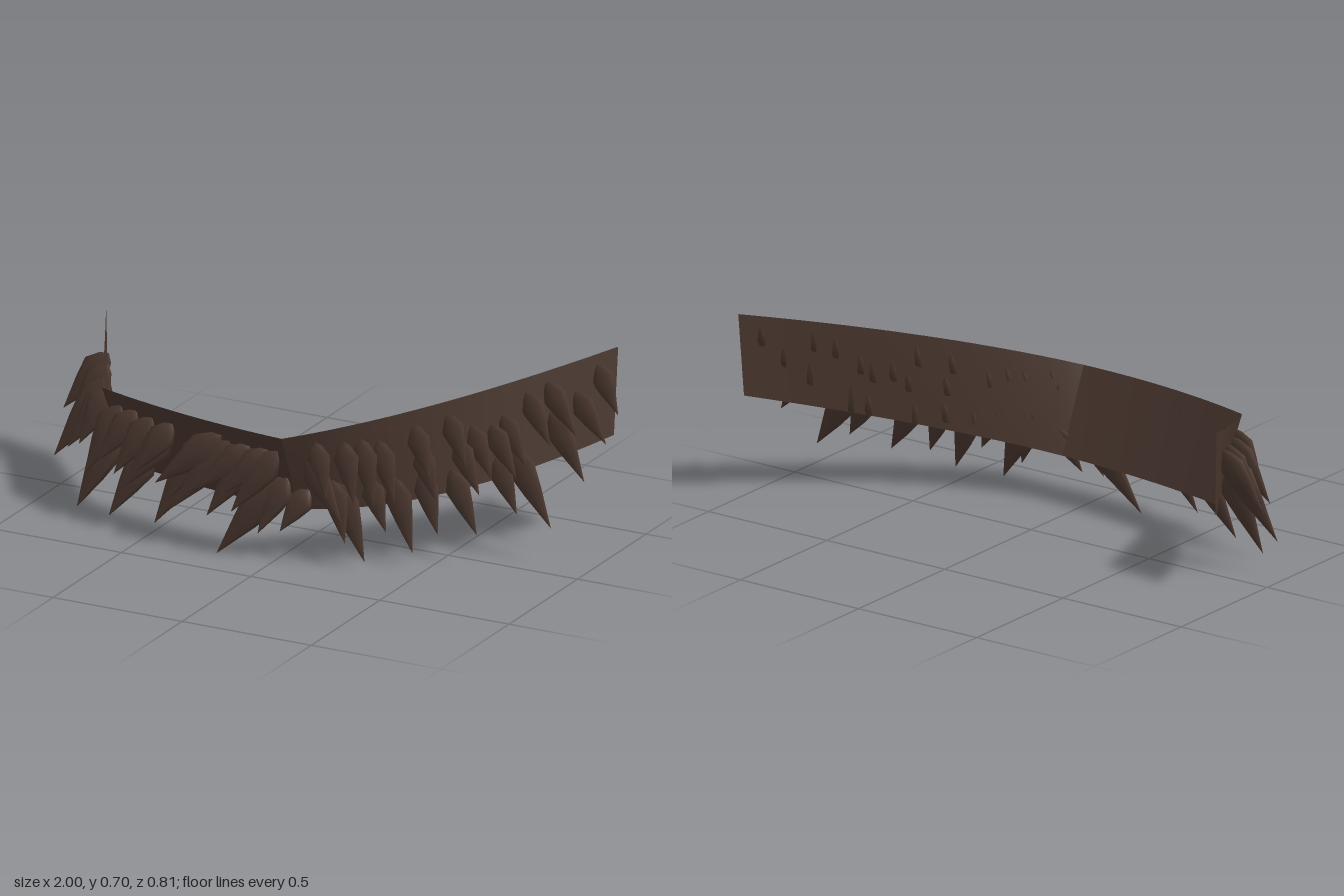
import * as THREE from 'three';

const V = (a) => new THREE.Vector3(...a);

// Curve passing through start, middle and end
function arc(a, m, b) {
  const [p, q, r] = [V(a), V(m), V(b)];
  const control = q.multiplyScalar(2).sub(p.clone().add(r).multiplyScalar(0.5));
  return new THREE.QuadraticBezierCurve3(p, control, r);
}

// Band sections from right to left: upper and lower edge of each
const sections = [
  {
    name: 'bandRightEnd',
    top: arc([-0.925, 0.61, -0.19], [-0.82, 0.55, 0.02], [-0.7, 0.5, 0.265]),
    low: arc([-0.915, 0.31, -0.185], [-0.81, 0.25, -0.03], [-0.67, 0.2, 0.15]),
  },
  {
    name: 'bandFront',
    top: arc([-0.7, 0.5, 0.265], [-0.33, 0.493, 0.35], [0.06, 0.485, 0.387]),
    low: arc([-0.67, 0.2, 0.15], [-0.31, 0.19, 0.233], [0.06, 0.19, 0.265]),
  },
  {
    name: 'bandLeftSide',
    top: arc([0.06, 0.485, 0.387], [0.5, 0.587, 0.075], [0.94, 0.713, -0.41]),
    low: arc([0.06, 0.19, 0.265], [0.52, 0.262, 0.07], [0.945, 0.405, -0.37]),
  },
];

const bandPoint = (s, u, v) => s.low.getPoint(u).lerp(s.top.getPoint(u), v);

// Point of the band closest to a given x and y
function onBand(x, y) {
  const s = x < -0.69 ? sections[0] : x < 0.06 ? sections[1] : sections[2];
  const x0 = s.top.v0.x, x1 = s.top.v2.x;
  const u = THREE.MathUtils.clamp((x - x0) / (x1 - x0), 0.03, 0.97);
  const a = s.low.getPoint(u).y, b = s.top.getPoint(u).y;
  return bandPoint(s, u, THREE.MathUtils.clamp((y - a) / (b - a), 0.08, 0.95));
}

// Spikes as [root x, root y, tip x, tip y]
const rightSpikes = [
  [-0.85, 0.48, -1.0, 0.28], [-0.79, 0.43, -0.98, 0.145], [-0.74, 0.44, -0.87, 0.23],
  [-0.81, 0.47, -0.93, 0.27], [-0.7, 0.31, -0.82, 0.03], [-0.64, 0.43, -0.75, 0.19],
  [-0.72, 0.45, -0.8, 0.27], [-0.54, 0.29, -0.67, 0.04], [-0.5, 0.42, -0.62, 0.22],
  [-0.42, 0.4, -0.58, 0.18], [-0.41, 0.42, -0.53, 0.25], [-0.31, 0.34, -0.46, 0.07],
  [-0.26, 0.41, -0.39, 0.18], [-0.17, 0.41, -0.37, 0.155], [-0.13, 0.4, -0.31, 0.22],
  [-0.07, 0.4, -0.23, 0.155], [-0.09, 0.41, -0.26, 0.25], [0.01, 0.3, -0.21, 0.01],
  [0.02, 0.41, -0.13, 0.19], [0.05, 0.3, -0.05, 0.11], [-0.02, 0.41, -0.16, 0.25],
  [-0.57, 0.43, -0.69, 0.25], [0.1, 0.26, 0.02, 0.12], [-0.2, 0.43, -0.43, 0.24],
];
const leftSpikes = [
  [0.16, 0.45, 0.22, 0.28], [0.13, 0.4, 0.28, 0.2], [0.19, 0.3, 0.26, 0.11],
  [0.21, 0.29, 0.33, 0.05], [0.24, 0.45, 0.3, 0.26], [0.29, 0.46, 0.36, 0.25],
  [0.34, 0.45, 0.42, 0.26], [0.3, 0.31, 0.39, 0.155], [0.37, 0.31, 0.47, 0.08],
  [0.44, 0.5, 0.52, 0.34], [0.45, 0.42, 0.54, 0.26], [0.45, 0.33, 0.54, 0.14],
  [0.53, 0.53, 0.62, 0.38], [0.55, 0.44, 0.66, 0.28], [0.53, 0.33, 0.66, 0.14],
  [0.59, 0.48, 0.69, 0.33], [0.64, 0.48, 0.76, 0.33], [0.67, 0.51, 0.78, 0.37],
  [0.69, 0.4, 0.87, 0.155], [0.65, 0.36, 0.76, 0.2], [0.73, 0.58, 0.84, 0.43],
  [0.78, 0.61, 0.91, 0.46], [0.79, 0.5, 0.94, 0.3], [0.85, 0.56, 0.985, 0.42],
  [0.9, 0.645, 0.995, 0.505],
];

export function createModel() {
  const group = new THREE.Group();
  const brown = new THREE.MeshStandardMaterial({ color: 0x49362e, side: THREE.DoubleSide });
  brown.name = 'dark brown';

  // Curved band in three creased sections
  for (const s of sections) {
    const geo = new THREE.PlaneGeometry(1, 1, 14, 2);
    const pos = geo.attributes.position;
    for (let i = 0; i < pos.count; i++) {
      const p = bandPoint(s, pos.getX(i) + 0.5, pos.getY(i) + 0.5);
      pos.setXYZ(i, p.x, p.y, p.z);
    }
    geo.computeVertexNormals();
    const mesh = new THREE.Mesh(geo, brown);
    mesh.name = s.name;
    group.add(mesh);
  }

  // Tuft: a pointed leaf-like cone, flattened from front to back
  const profile = [[0, 0], [0.5, 0.08], [1, 0.27], [0.66, 0.56], [0, 1]];
  const spikeGeo = new THREE.LatheGeometry(profile.map(([r, y]) => new THREE.Vector2(r, y)), 8);
  const addSpikes = (name, list) => {
    const tufts = new THREE.Group();
    tufts.name = name;
    for (const [x, y, tx, ty] of list) {
      const root = onBand(x, y);
      root.z += 0.01;
      const axis = new THREE.Vector3(tx, ty, root.z + 0.035).sub(root);
      const length = axis.length() + 0.02;
      axis.normalize();
      const across = axis.clone().cross(new THREE.Vector3(0, 0, 1)).normalize();
      const depth = across.clone().cross(axis);
      const mesh = new THREE.Mesh(spikeGeo, brown);
      mesh.name = 'spike';
      mesh.quaternion.setFromRotationMatrix(new THREE.Matrix4().makeBasis(across, axis, depth));
      mesh.scale.set(0.03 + 0.09 * length, length, 0.012 + 0.02 * length);
      mesh.position.copy(root).addScaledVector(axis, -0.02);
      tufts.add(mesh);
    }
    group.add(tufts);
  };
  addSpikes('rightSpikes', rightSpikes);
  addSpikes('leftSpikes', leftSpikes);
  return group;
}
